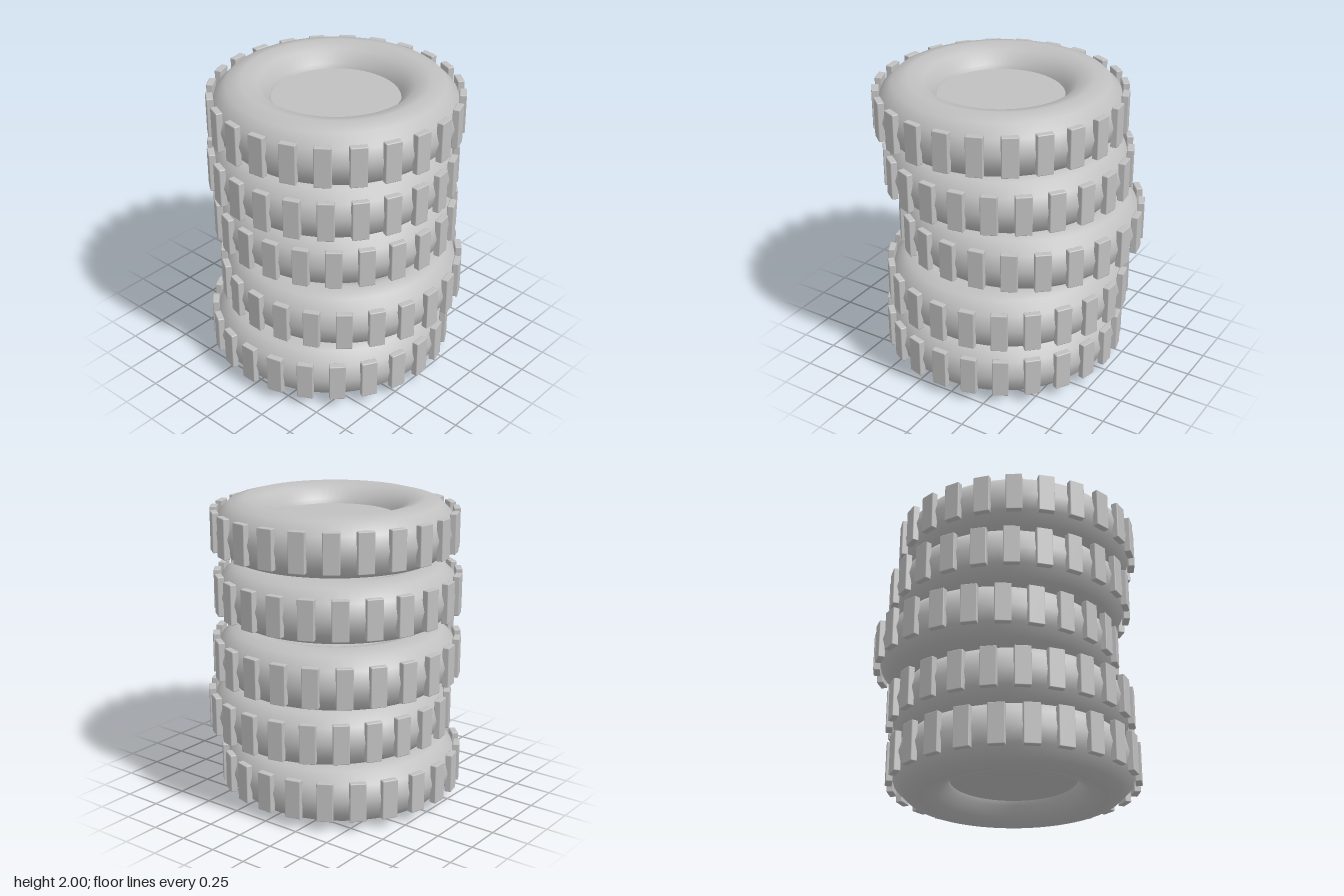
import * as THREE from 'three';
import { RoundedBoxGeometry } from 'three/addons/geometries/RoundedBoxGeometry.js';

const TREADS = 24;
const TUBE = 0.2;
const OUTER = 0.813;
const DEPTH = 0.045;

// Each tyre, from bottom to top: x offset, z offset, turn in degrees
const STACK = [
  [0, 0.053, 0],
  [0.047, -0.007, -2.3],
  [-0.047, -0.053, -4.2],
  [0, 0.02, -6.6],
  [0.047, 0.047, -9],
];

export function createModel() {
  const rubber = new THREE.MeshStandardMaterial({ color: 0xc0c0c0 });
  rubber.name = 'greyRubber';

  const bodyGeo = new THREE.TorusGeometry(0.59, TUBE, 12, 64).rotateX(Math.PI / 2);
  const hubGeo = new THREE.CylinderGeometry(0.42, 0.42, 0.14, 48);
  const treadGeo = new RoundedBoxGeometry(0.106, 0.262, DEPTH, 1, 0.006);

  const add = (parent, geo, name) => {
    const mesh = new THREE.Mesh(geo, rubber);
    mesh.name = name;
    parent.add(mesh);
    return mesh;
  };

  const model = new THREE.Group();
  model.name = 'tyreStack';

  STACK.forEach(([x, z, turn], i) => {
    const tyre = new THREE.Group();
    tyre.name = `tyre${i + 1}`;
    tyre.position.set(x, TUBE + i * 2 * TUBE, z);
    tyre.rotation.y = THREE.MathUtils.degToRad(turn);

    // Smooth ring and the disc closing its hole
    add(tyre, bodyGeo, 'tyreBody');
    add(tyre, hubGeo, 'hubDisc');

    // Tread blocks around the rim
    const treads = new THREE.Group();
    treads.name = 'treadBlocks';
    for (let k = 0; k < TREADS; k++) {
      const a = (k / TREADS) * Math.PI * 2;
      const r = OUTER - DEPTH / 2;
      const block = add(treads, treadGeo, 'treadBlock');
      block.position.set(Math.sin(a) * r, 0.004, Math.cos(a) * r);
      block.rotation.y = a;
    }
    tyre.add(treads);
    model.add(tyre);
  });

  return model;
}
